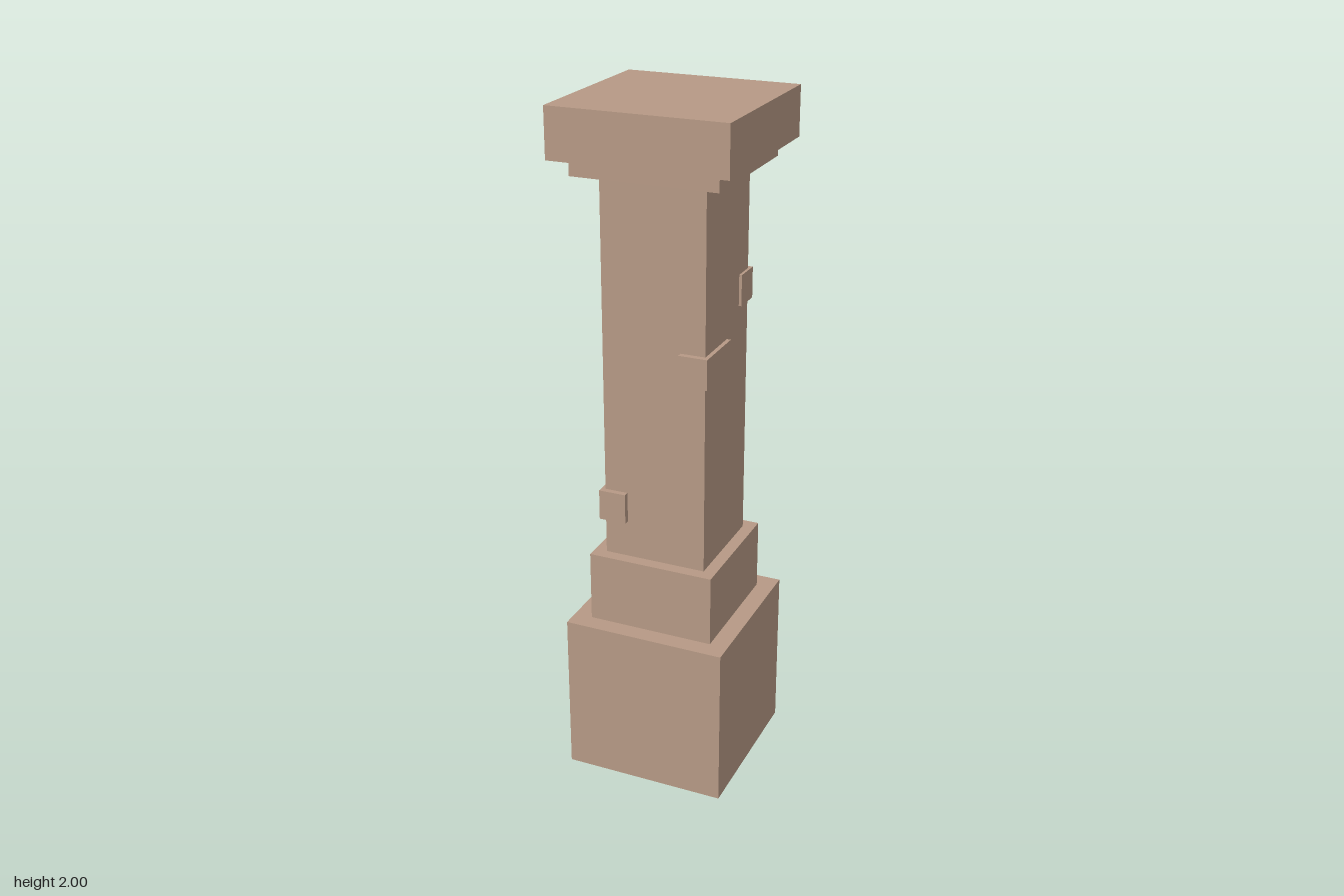
import * as THREE from 'three';

export function createModel() {
  const group = new THREE.Group();
  const stone = new THREE.MeshStandardMaterial({ color: 0xb69985 });
  stone.name = 'warm stone';

  // Box given by its lower and upper bounds on each axis
  function block(name, [x0, x1], [y0, y1], [z0, z1]) {
    const mesh = new THREE.Mesh(new THREE.BoxGeometry(x1 - x0, y1 - y0, z1 - z0), stone);
    mesh.position.set((x0 + x1) / 2, (y0 + y1) / 2, (z0 + z1) / 2);
    mesh.name = name;
    group.add(mesh);
  }

  // Square tiers, bottom to top: name, half width, bottom, top
  const tiers = [
    ['base', 0.242, 0, 0.487],
    ['plinth', 0.188, 0.487, 0.698],
    ['shaft', 0.152, 0.698, 1.812],
    ['collar', 0.21, 1.812, 1.859],
    ['cap', 0.254, 1.859, 2],
  ];
  for (const [name, h, y0, y1] of tiers) block(name, [-h, h], [y0, y1], [-h, h]);

  // Raised bricks wrapping the shaft corners
  block('brickBackLeft', [0, 0.16], [1.414, 1.504], [-0.169, -0.086]);
  block('brickFrontLeft', [0.08, 0.164], [1.258, 1.346], [0, 0.169]);
  block('brickBackRight', [-0.164, 0], [1.109, 1.197], [-0.169, -0.086]);
  block('brickFrontRight', [-0.164, -0.083], [0.809, 0.899], [0, 0.169]);

  return group;
}
